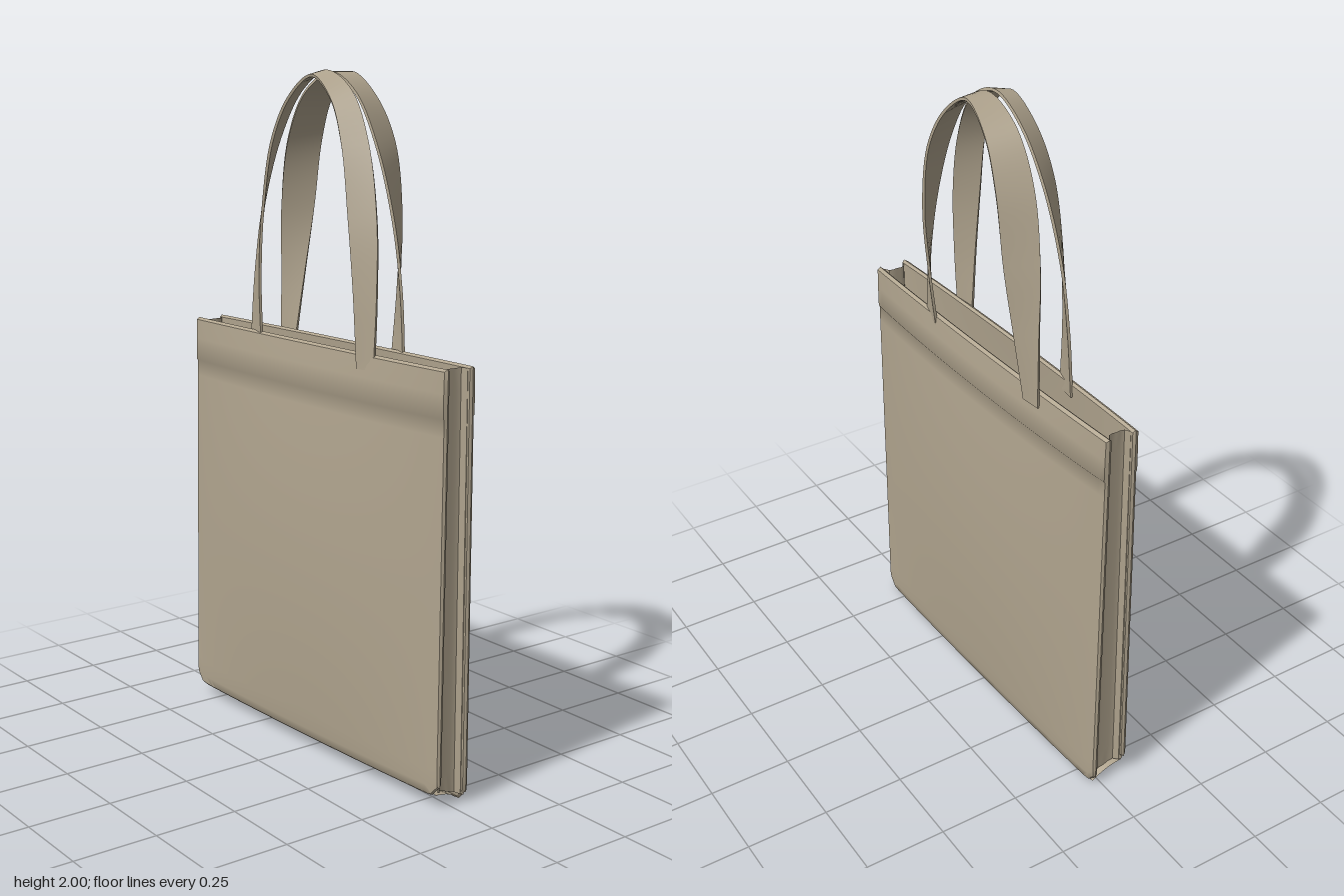
import * as THREE from 'three';
import { toCreasedNormals } from 'three/addons/utils/BufferGeometryUtils.js';

const W = 0.58, H = 1.235, T = 0.016;

const canvas = new THREE.MeshStandardMaterial({ color: 0xb0a48e, side: THREE.DoubleSide });
canvas.name = 'beige canvas';
const lining = new THREE.MeshStandardMaterial({ color: 0x2c2b2b, side: THREE.DoubleSide });
lining.name = 'dark lining';

// Surface through a grid of points: rows of columns
function loft(name, rows, closed = false, material = canvas, crease = 0.7) {
  const n = rows[0].length, index = [];
  const last = closed ? rows.length : rows.length - 1;
  for (let j = 0; j < last; j++) {
    for (let i = 0; i < n - 1; i++) {
      const a = j * n + i, b = ((j + 1) % rows.length) * n + i;
      index.push(a, a + 1, b, a + 1, b + 1, b);
    }
  }
  const g = new THREE.BufferGeometry();
  g.setAttribute('position', new THREE.Float32BufferAttribute(rows.flat(2), 3));
  g.setIndex(index);
  const mesh = new THREE.Mesh(toCreasedNormals(g, crease), material);
  mesh.name = name;
  return mesh;
}

const steps = (n, a, b) => Array.from({ length: n + 1 }, (_, i) => a + (b - a) * i / n);

// Outer cloth surface of each side: slightly skewed and softly filled out
function clothZ(side, s, y) {
  const v = Math.min(1, Math.max(0, y / H));
  const fill = Math.pow(Math.max(0, 1 - s * s), 0.9) * Math.pow(Math.max(0, Math.sin(Math.PI * (0.04 + 0.9 * v))), 0.8);
  return side > 0
    ? 0.058 - 0.014 * s + (1 - v) * (0.014 - 0.005 * s) + 0.038 * fill
    : -0.043 - 0.015 * s - 0.035 * fill;
}
const hemBottom = side => (side > 0 ? 0.035 : 0.0);

// Thick fabric panel with a raised top hem and rounded lower corners
function panel(name, side) {
  const y0 = hemBottom(side);
  const profile = [
    [y0, T / 2], [y0 + 0.006, 0.002],
    ...steps(22, y0 + 0.03, 1.1).map(y => [y, 0]),
    [1.104, -0.003], [1.17, -0.003], [H - 0.006, -0.002], [H, T / 2],
    [H - 0.006, T], ...steps(16, 1.15, y0 + 0.01).map(y => [y, T])
  ];
  const cols = steps(48, -1, 1);
  cols.unshift(-1);
  cols.push(1);
  const rows = profile.map(([y, inset]) => cols.map((s, i) => {
    const cap = i === 0 || i === cols.length - 1;
    const corner = Math.max(0, (Math.abs(s) - 0.94) / 0.06);
    const low = 0.03 * corner * corner * Math.max(0, 1 - (y - y0) / 0.2);
    const x = s * W + (cap ? Math.sign(s) * 0.004 : 0);
    return [x, y + low, clothZ(side, s, y) - side * (cap ? T / 2 : inset)];
  }));
  return loft(name, rows, true);
}

// Folded-in side strip
function gusset(name, dir) {
  const fold = [[0, 0.005], [0.1, 0.008], [0.2, 0.024], [0.35, 0.027], [0.5, 0.025], [0.65, 0.027], [0.8, 0.024], [0.9, 0.008], [1, 0.005]];
  const rows = steps(20, 0, 1).map(v => fold.map(([t, dent]) => {
    const yF = 0.05 + (H - 0.055) * v, yB = 0.02 + (H - 0.025) * v;
    const f = clothZ(1, dir, yF) - T / 2, b = clothZ(-1, dir, yB) + T / 2;
    return [dir * (W - dent), yF + (yB - yF) * t, f + (b - f) * t];
  }));
  return loft(name, rows);
}

// Strip across the bag between the panels at a height above their lower edge
function floorStrip(name, x0, x1, lift, material) {
  const rows = steps(8, 0, 1).map(t => steps(30, x0, x1).map(x => {
    const s = x / W, yF = hemBottom(1) + lift, yB = hemBottom(-1) + lift;
    const f = clothZ(1, s, yF) - T / 2, b = clothZ(-1, s, yB) + T / 2;
    const sag = 0.008 * Math.sin(Math.PI * t);
    return [x, yF + (yB - yF) * t + sag, f + (b - f) * t];
  }));
  return loft(name, rows, false, material);
}

// Mirrored arch curve from half of its points
function arch(half) {
  const pts = half.map(p => new THREE.Vector3(...p));
  const other = pts.slice(0, -1).reverse().map(p => new THREE.Vector3(-p.x, p.y, p.z));
  return new THREE.CatmullRomCurve3([...pts, ...other]);
}

// Flat strap that turns from facing outwards at its feet to facing up at its crown
function handle(name, outerHalf, innerHalf) {
  const outer = arch(outerHalf), inner = arch(innerHalf);
  const rows = [[], [], [], []];
  for (const t of steps(80, 0, 1)) {
    const o = outer.getPoint(t), i = inner.getPoint(t);
    const across = i.clone().sub(o);
    const n = outer.getTangent(t).cross(across).normalize().multiplyScalar(0.004);
    [o.clone().add(n), i.clone().add(n), i.clone().sub(n), o.clone().sub(n)]
      .forEach((p, k) => rows[k].push(p.toArray()));
  }
  return loft(name, rows, true);
}

export function createModel() {
  const bag = new THREE.Group();
  bag.name = 'toteBag';

  // Body
  bag.add(panel('frontPanel', 1), panel('backPanel', -1));
  bag.add(gusset('leftGusset', 1), gusset('rightGusset', -1));
  bag.add(floorStrip('bottom', -W + 0.01, W - 0.01, 0.006, canvas));

  // Inside floor, partly lined
  bag.add(floorStrip('innerFloor', -W + 0.03, 0.1, 0.03, canvas));
  bag.add(floorStrip('innerLining', 0.1, W - 0.05, 0.03, lining));

  // Handles
  bag.add(handle('frontHandle',
    [[0.298, 1.19, 0.058], [0.293, 1.4, 0.045], [0.272, 1.6, 0.03], [0.212, 1.8, 0.012], [0.12, 1.94, 0], [0, 1.995, 0]],
    [[0.232, 1.19, 0.066], [0.226, 1.4, 0.075], [0.205, 1.6, 0.078], [0.165, 1.8, 0.072], [0.1, 1.92, 0.06], [0, 1.983, 0.053]]));
  bag.add(handle('backHandle',
    [[0.295, 1.19, -0.05], [0.286, 1.4, -0.045], [0.265, 1.6, -0.03], [0.208, 1.8, -0.015], [0.12, 1.935, -0.012], [0, 1.99, -0.015]],
    [[0.232, 1.19, -0.056], [0.222, 1.4, -0.085], [0.205, 1.6, -0.108], [0.17, 1.8, -0.11], [0.1, 1.925, -0.098], [0, 1.99, -0.09]]));
  return bag;
}
